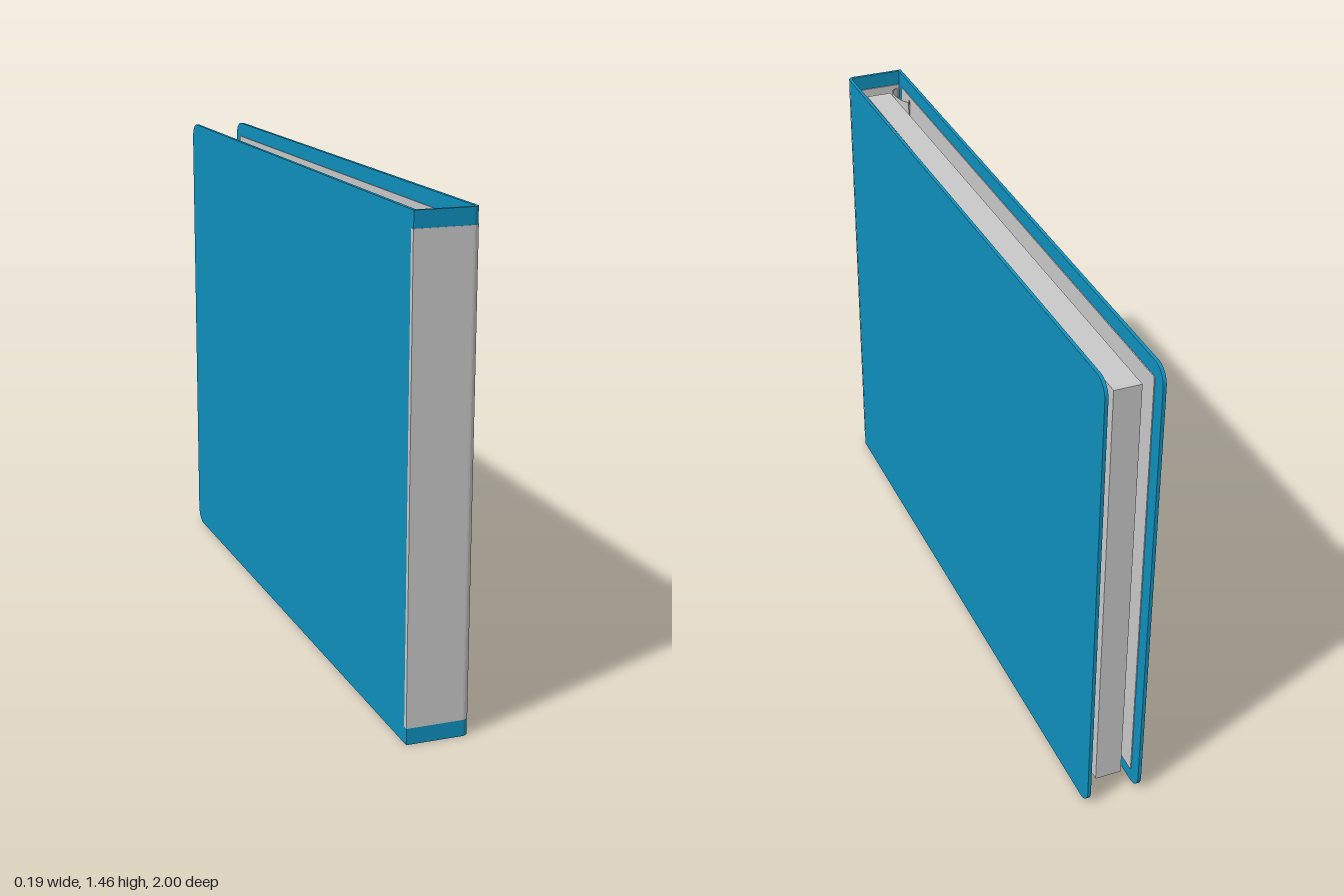
import * as THREE from 'three';

const H = 1.455;
const blue = new THREE.MeshStandardMaterial({ color: 0x0f90bd });
blue.name = 'coverBlue';
const grey = new THREE.MeshStandardMaterial({ color: 0xc9c9c9 });
grey.name = 'paperGrey';

function mesh(name, geometry, material) {
  const m = new THREE.Mesh(geometry, material);
  m.name = name;
  return m;
}

// Upright bent sheet: a plan path of [x, z] points, thickened and raised from y0 to y1
function sheet(points, thick, y0, y1) {
  const v = points.map(([x, z]) => new THREE.Vector2(x, -z));
  const left = [], right = [];
  v.forEach((p, i) => {
    const a = v[Math.max(i - 1, 0)], b = v[Math.min(i + 1, v.length - 1)];
    const d1 = p.clone().sub(a).normalize(), d2 = b.clone().sub(p).normalize();
    const d = d1.clone().add(d2).normalize();
    const n = new THREE.Vector2(-d.y, d.x);
    const ref = d1.lengthSq() > 0 ? d1 : d2;
    const miter = thick / 2 / Math.max(0.5, d.dot(ref));
    left.push(p.clone().addScaledVector(n, miter));
    right.unshift(p.clone().addScaledVector(n, -miter));
  });
  const g = new THREE.ExtrudeGeometry(new THREE.Shape([...left, ...right]), { depth: y1 - y0, bevelEnabled: false });
  return g.rotateX(-Math.PI / 2).translate(0, y0, 0);
}

// Upright board in the z-y plane with rounded back corners, leaning from xBack to xFront
function board(z0, z1, y0, y1, r, thick, xBack, xFront) {
  const s = new THREE.Shape();
  s.moveTo(z1, y0);
  s.lineTo(z1, y1);
  s.lineTo(z0 + r, y1);
  s.absarc(z0 + r, y1 - r, r, Math.PI / 2, Math.PI, false);
  s.lineTo(z0, y0 + r);
  s.absarc(z0 + r, y0 + r, r, Math.PI, Math.PI * 1.5, false);
  s.closePath();
  const g = new THREE.ExtrudeGeometry(s, { depth: thick, bevelEnabled: false, curveSegments: 10 });
  g.rotateY(-Math.PI / 2).translate(thick / 2, 0, 0);
  const p = g.attributes.position;
  for (let i = 0; i < p.count; i++) {
    const t = (p.getZ(i) + 1) / 1.96;
    p.setX(i, p.getX(i) + xBack + (xFront - xBack) * t);
  }
  return g;
}

export function createModel() {
  const model = new THREE.Group();
  model.name = 'book';

  // Covers and their inset linings
  for (const [side, s, back, front] of [['left', 1, 0.078, 0.085], ['right', -1, 0.082, 0.09]]) {
    model.add(mesh(side + 'Cover', board(-1, 0.96, 0, H, 0.05, 0.01, s * back, s * front), blue));
    model.add(mesh(side + 'Lining', board(-0.955, 0.96, 0.045, H - 0.045, 0.005, 0.003,
      s * (back - 0.0062), s * (front - 0.0062)), grey));
  }

  // Spine, square on one edge and rounded on the other
  const edge = [];
  for (let i = 0; i <= 6; i++) {
    const a = (i / 6) * Math.PI / 2;
    edge.push([0.07 + 0.015 * Math.sin(a), 0.979 + 0.015 * Math.cos(a)]);
  }
  model.add(mesh('spine', sheet([[-0.09, 0.96], [-0.09, 0.994], ...edge, [0.085, 0.96]], 0.01, 0, H), blue));

  // Label band around the spine
  const band = edge.map(([x, z]) => {
    const k = 20 / 15;
    return [0.07 + (x - 0.07) * k, 0.979 + (z - 0.979) * k];
  });
  model.add(mesh('spineBand', sheet([[-0.095, 0.985], [-0.095, 0.999], ...band, [0.09, 0.975]], 0.002, 0.048, 1.408), grey));

  // Page block
  const pages = new THREE.BoxGeometry(0.08, 1.345, 1.91);
  pages.translate(0, H / 2, -0.005);
  model.add(mesh('pages', pages, grey));

  // Inner spine strip and curved hinges that hold the pages
  model.add(mesh('spineLining', sheet([[-0.082, 0.985], [0.07, 0.985]], 0.004, 0.045, H - 0.045), grey));
  for (const s of [1, -1]) {
    const curve = new THREE.SplineCurve([[0.078, 0.87], [0.07, 0.86], [0.058, 0.875], [0.05, 0.91],
      [0.048, 0.945], [0.058, 0.968], [0.074, 0.977]].map(([x, z]) => new THREE.Vector2(x * s, z)));
    const path = curve.getPoints(20).map(p => [p.x, p.y]);
    model.add(mesh(s > 0 ? 'leftHinge' : 'rightHinge', sheet(path, 0.003, 0.055, H - 0.055), grey));
  }
  return model;
}
